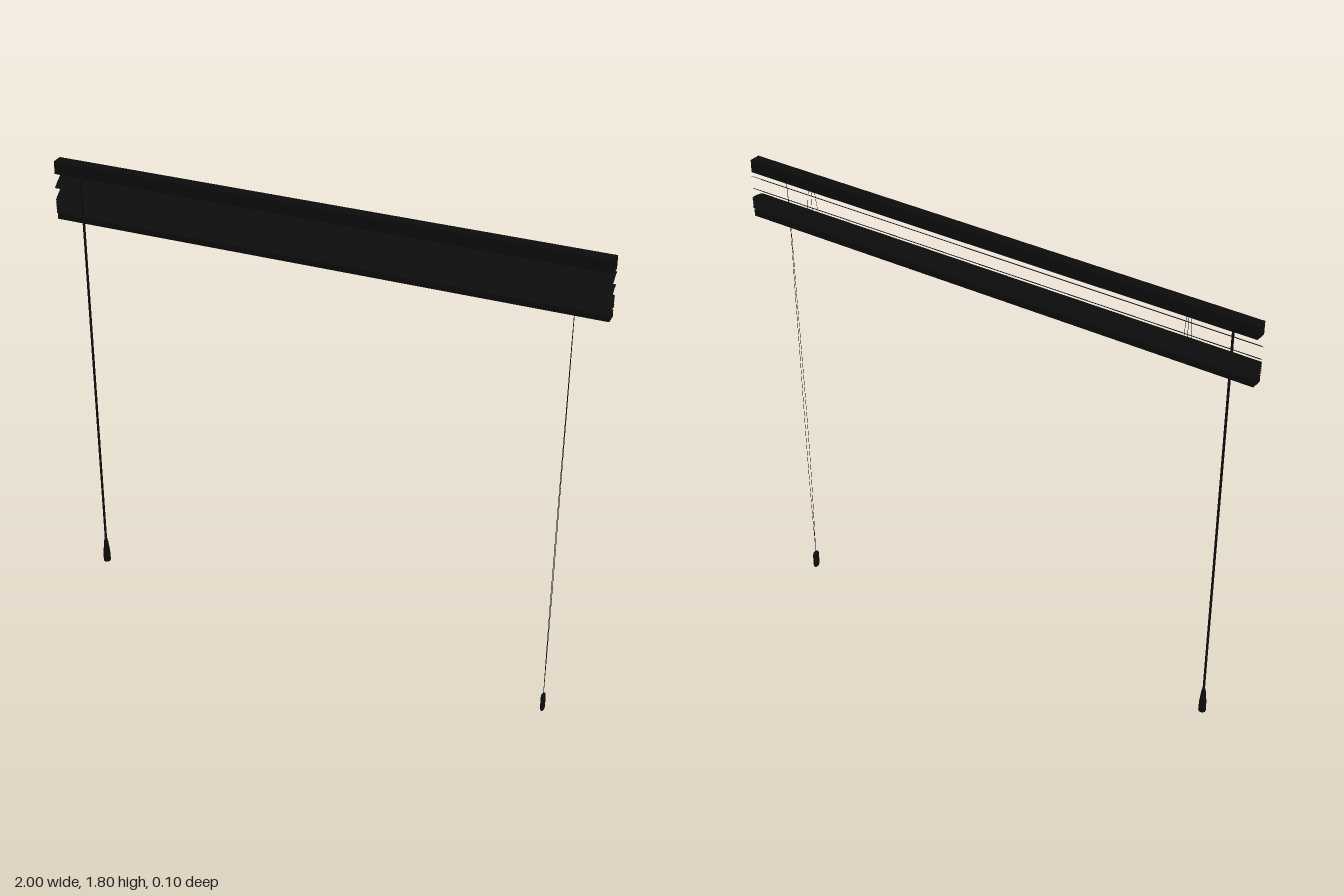
import * as THREE from 'three';

const BLACK = new THREE.MeshStandardMaterial({ color: 0x0c0c0c });
const SHEET = new THREE.MeshStandardMaterial({ color: 0x0c0c0c, side: THREE.DoubleSide });
const MID = -0.022; // depth of the blind's centre plane

export function createModel() {
  const model = new THREE.Group();
  const add = (name, geometry, material = BLACK) => {
    const mesh = new THREE.Mesh(geometry, material);
    mesh.name = name;
    model.add(mesh);
    return mesh;
  };
  const box = (name, w, h, d, x, y, z) => add(name, new THREE.BoxGeometry(w, h, d).translate(x, y, z));
  const cord = (name, points, radius, segments = 24, sides = 5) => {
    const curve = new THREE.CatmullRomCurve3(points.map((p) => new THREE.Vector3(...p)));
    return add(name, new THREE.TubeGeometry(curve, segments, radius, sides));
  };

  // Head rail and bottom rail
  box('headRail', 2, 0.047, 0.042, 0, 1.781, MID);
  box('bottomRail', 2, 0.024, 0.042, 0, 1.599, MID);

  // Thin crowned slat; the back edge sits higher than the front by "rise"
  const slat = (name, y, rise, crown) => {
    const geometry = new THREE.PlaneGeometry(2, 1, 1, 6);
    const p = geometry.attributes.position;
    for (let i = 0; i < p.count; i++) {
      const v = p.getY(i);
      p.setXYZ(i, p.getX(i), y + v * rise + crown * (1 - 4 * v * v), MID - v * 0.055);
    }
    geometry.computeVertexNormals();
    add(name, geometry, SHEET);
  };

  // Two hanging slats above the gathered stack
  slat('hangingSlat', 1.726, 0.038, 0.003);
  slat('hangingSlat', 1.68, 0.038, 0.003);
  for (let i = 0; i < 13; i++) slat('stackedSlat', 1.616 + i * 0.0035, 0.007, 0.003);

  // Ladder cords, lift cords and cord buttons near both ends
  for (const x of [-0.75, 0.75]) {
    for (const s of [-1, 1]) {
      const pts = [[x, 1.76, MID + s * 0.015], [x, 1.71, MID + s * 0.021], [x, 1.665, MID + s * 0.028]];
      for (let i = 0; i < 8; i++) pts.push([x, 1.658 - i * 0.006, MID + s * (i % 2 ? 0.024 : 0.028)]);
      pts.push([x, 1.59, MID + s * 0.021]);
      cord('ladderCord', pts, 0.0008, 40, 4);
    }
    cord('liftCord', [[x, 1.76, MID], [x, 1.6, MID]], 0.0008, 1, 4);
    add('cordButton', new THREE.CylinderGeometry(0.009, 0.007, 0.006, 12).translate(x, 1.585, MID));
  }

  // Tilt wand with hook and flared handle
  const wx = -0.89, wz = 0.011;
  cord('wandHook', [[wx, 1.77, -0.004], [wx, 1.768, 0.008], [wx, 1.755, 0.012], [wx, 1.735, wz]], 0.003, 12, 6);
  add('wandRod', new THREE.CylinderGeometry(0.0045, 0.0045, 1.5, 8).translate(wx, 0.995, wz));
  const handle = [[0, 0.16], [0.013, 0.16], [0.014, 0.165], [0.013, 0.2], [0.008, 0.25], [0.005, 0.262], [0, 0.262]];
  add('wandHandle', new THREE.LatheGeometry(handle.map(([r, y]) => new THREE.Vector2(r, y)), 14).translate(wx, 0, wz));

  // Pull cord pair ending in a flattened rounded tassel
  const cx = 0.89;
  for (const s of [-1, 1]) {
    cord('pullCord', [[cx, 1.76, -0.002], [cx, 1.74, 0.008], [cx, 1.2, 0.024 + s * 0.004],
      [cx, 0.5, 0.034 + s * 0.007], [cx, 0.07, 0.038]], 0.0009, 32, 4);
  }
  add('pullTassel', new THREE.CapsuleGeometry(0.016, 0.046, 5, 14).scale(0.5, 1, 1).translate(cx, 0.039, 0.038));

  return model;
}
